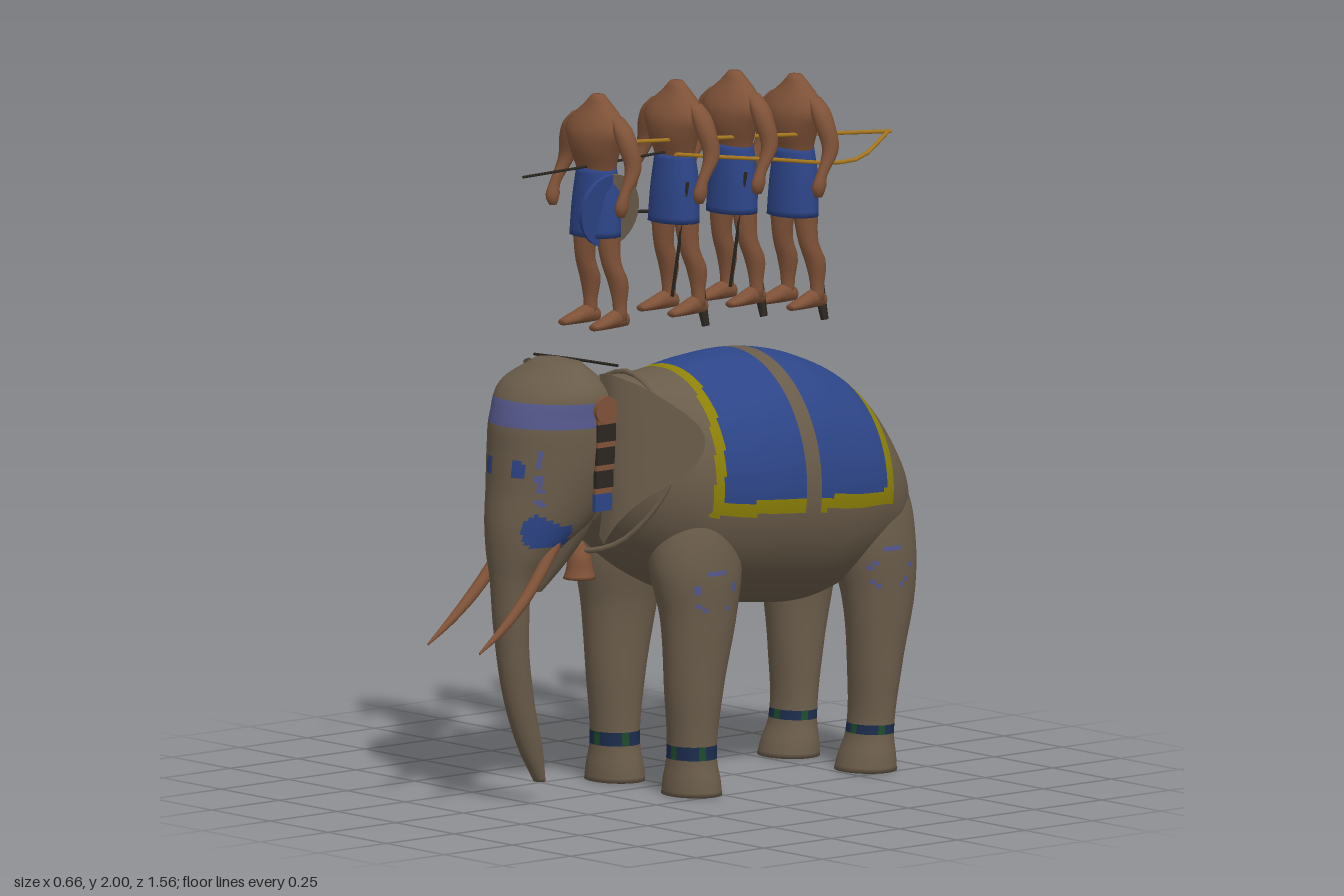
import * as THREE from 'three';

const flat = (name, color) => new THREE.MeshStandardMaterial({ name, color, side: THREE.DoubleSide });
const M = {
  hide: flat('hide', 0x6a5c4a), blue: flat('cloth blue', 0x2d4588), yellow: flat('border yellow', 0x8c8008),
  skin: flat('skin', 0x7f5238), paint: flat('lilac paint', 0x55588c), navy: flat('navy', 0x1c2c4c),
  green: flat('green', 0x1c4a2c), gold: flat('golden wood', 0xa87820), dark: flat('dark leather', 0x2c2620),
};

function add(parent, name, geometry, material, x = 0, y = 0, z = 0) {
  const mesh = new THREE.Mesh(geometry, material);
  mesh.name = name;
  mesh.position.set(x, y, z);
  parent.add(mesh);
  return mesh;
}

// Smooth loft through elliptical sections [s, a, b, ra, rb] stacked along y (a = x, b = z)
// or along z (a = x, b = y). paint(point, angle) may pick the colour of each face.
function loft(parent, name, sections, { axis = 'y', rows = 12, cols = 14, material = M.hide, paint } = {}) {
  const shape = new THREE.CubicInterpolant(
    new Float32Array(sections.map(s => s[0])), new Float32Array(sections.flatMap(s => s.slice(1))), 4);
  const s0 = sections[0][0], s1 = sections[sections.length - 1][0];
  const points = [], faces = new Map();
  const put = (s, a, b) => points.push(axis === 'y' ? new THREE.Vector3(a, s, b) : new THREE.Vector3(a, b, s));
  for (let i = 0; i <= rows; i++) {
    const s = s0 + (s1 - s0) * i / rows;
    const [a, b, ra, rb] = shape.evaluate(s);
    for (let j = 0; j < cols; j++) {
      const t = j / cols * Math.PI * 2;
      put(s, a + Math.max(ra, 0.002) * Math.cos(t), b + Math.max(rb, 0.002) * Math.sin(t));
    }
  }
  const first = sections[0], last = sections[sections.length - 1];
  put(s0, first[1], first[2]);
  put(s1, last[1], last[2]);
  const face = (mat, a, b, c) => {
    if (!faces.has(mat)) faces.set(mat, []);
    faces.get(mat).push(...(axis === 'y' ? [a, c, b] : [a, b, c]));
  };
  const bottom = points.length - 2, top = points.length - 1;
  for (let j = 0; j < cols; j++) {
    const k = (j + 1) % cols;
    for (let i = 0; i < rows; i++) {
      const a = i * cols + j, b = i * cols + k, c = a + cols, d = b + cols;
      const mid = points[a].clone().add(points[d]).multiplyScalar(0.5);
      const mat = paint ? paint(mid, (j + 0.5) / cols * Math.PI * 2) : material;
      face(mat, a, b, d);
      face(mat, a, d, c);
    }
    face(material, bottom, k, j);
    face(material, top, rows * cols + j, rows * cols + k);
  }
  const geo = new THREE.BufferGeometry().setFromPoints(points), index = [], mats = [];
  for (const [mat, list] of faces) {
    geo.addGroup(index.length, list.length, mats.length);
    mats.push(mat);
    for (const v of list) index.push(v);
  }
  geo.setIndex(index);
  geo.computeVertexNormals();
  return add(parent, name, geo, mats);
}

function rod(parent, name, pts, radius, material, closed = false) {
  const curve = new THREE.CatmullRomCurve3(pts.map(p => new THREE.Vector3(...p)), closed);
  return add(parent, name, new THREE.TubeGeometry(curve, closed ? 40 : 14, radius, 6, closed), material);
}

// Saddle cloth: two blue panels with a yellow border, split by a bare strip
function clothPaint({ y, z }) {
  const front = 0.02 + 0.1 * (1.19 - y), back = -0.605, hem = 0.795 + 0.04 * z;
  if (y < hem || z > front || z < back || (z < -0.245 && z > -0.305)) return M.hide;
  return z > front - 0.03 || z < back + 0.033 || y < hem + 0.04 ? M.yellow : M.blue;
}

// Forehead band, brow spots, cheek blots and temple streaks
function facePaint({ x, y, z }) {
  const ax = Math.abs(x);
  if (z > 0.42 && y > 1.085 && y < 1.15) return M.paint;
  if (z < 0.46) return M.hide;
  if (Math.hypot((ax - 0.06) / 0.02, (y - 0.965) / 0.027) < 1) return M.blue;
  if (Math.hypot((ax - 0.108) / 0.028, (y - 0.79) / 0.05) < 1) return M.blue;
  if (Math.abs(ax - 0.115) < 0.008 && y > 0.86 && y < 1.02 && Math.sin(y * 90) > -0.5) return M.paint;
  return M.hide;
}

// Anklet near the foot and a broken painted ring on the outer thigh
function legPaint(cz) {
  return ({ x, y, z }, t) => {
    if (y > 0.1 && y < 0.138) return Math.sin(t * 5) > 0.4 ? M.green : M.navy;
    const r = Math.hypot(z - cz, y - 0.58);
    return Math.abs(x) > 0.2 && r > 0.055 && r < 0.068 && Math.sin(y * 120) > -0.3 ? M.paint : M.hide;
  };
}

// Thin ear that sweeps back as it spreads outward
function ear(parent, side) {
  const line = pts => new THREE.SplineCurve(pts.map(p => new THREE.Vector2(...p)));
  const inner = line([[0.13, 1.22], [0.16, 1.1], [0.16, 0.95], [0.13, 0.76]]);
  const outer = line([[0.17, 1.23], [0.255, 1.19], [0.325, 1.07], [0.315, 0.95], [0.25, 0.87], [0.15, 0.74]]);
  const geo = new THREE.PlaneGeometry(1, 1, 10, 18), pos = geo.attributes.position;
  for (let i = 0; i < pos.count; i++) {
    const v = 0.5 - pos.getY(i);
    const p = inner.getPoint(v).lerp(outer.getPoint(v), pos.getX(i) + 0.5);
    pos.setXYZ(i, p.x * side, p.y, 0.36 - 8.7 * Math.max(0, p.x - 0.17) ** 2);
  }
  geo.computeVertexNormals();
  add(parent, 'ear', geo, M.hide);
}

function elephant() {
  const g = new THREE.Group();
  g.name = 'elephant';
  loft(g, 'body', [[-0.775, 0, 0.82, 0.04, 0.04], [-0.74, 0, 0.765, 0.17, 0.14], [-0.68, 0, 0.775, 0.24, 0.218],
    [-0.6, 0, 0.81, 0.28, 0.283], [-0.45, 0, 0.828, 0.308, 0.347], [-0.28, 0, 0.851, 0.32, 0.362],
    [-0.1, 0, 0.863, 0.31, 0.343], [0.05, 0, 0.878, 0.27, 0.307], [0.2, 0, 0.92, 0.225, 0.26],
    [0.33, 0, 0.975, 0.15, 0.195]], { axis: 'z', rows: 140, cols: 160, paint: clothPaint });
  loft(g, 'headAndTrunk', [[0.06, 0, 0.468, 0.018, 0.016], [0.15, 0, 0.5, 0.03, 0.036], [0.3, 0, 0.545, 0.04, 0.045],
    [0.5, 0, 0.573, 0.053, 0.048], [0.65, 0, 0.567, 0.07, 0.063], [0.72, 0, 0.535, 0.1, 0.1],
    [0.8, 0, 0.475, 0.135, 0.16], [0.9, 0, 0.435, 0.165, 0.185], [1.0, 0, 0.405, 0.185, 0.205],
    [1.1, 0, 0.4, 0.188, 0.195], [1.19, 0, 0.415, 0.168, 0.128], [1.25, 0, 0.4, 0.085, 0.045]],
  { rows: 120, cols: 80, paint: facePaint });
  loft(g, 'lowerJaw', [[0.6, 0, 0.475, 0.012, 0.012], [0.68, 0, 0.44, 0.05, 0.06],
    [0.78, 0, 0.4, 0.085, 0.1], [0.9, 0, 0.38, 0.1, 0.12]]);
  loft(g, 'tail', [[0.12, 0, -0.73, 0.004, 0.004], [0.2, 0, -0.732, 0.014, 0.013], [0.35, 0, -0.738, 0.008, 0.008],
    [0.6, 0, -0.752, 0.01, 0.01], [0.86, 0, -0.755, 0.02, 0.02]], { rows: 20, cols: 8 });
  for (const s of [1, -1]) {
    loft(g, 'frontLeg', [[0, s * 0.165, 0.048, 0.095, 0.078], [0.04, s * 0.165, 0.048, 0.09, 0.075],
      [0.1, s * 0.165, 0.048, 0.077, 0.067], [0.3, s * 0.168, 0.042, 0.08, 0.087], [0.5, s * 0.17, 0.028, 0.092, 0.118],
      [0.65, s * 0.16, 0.03, 0.108, 0.145], [0.78, s * 0.145, 0.03, 0.1, 0.13], [0.9, s * 0.12, 0.02, 0.07, 0.09]],
    { rows: 70, cols: 40, paint: legPaint(0.04) });
    loft(g, 'rearLeg', [[0, s * 0.165, -0.595, 0.095, 0.083], [0.04, s * 0.165, -0.6, 0.09, 0.076],
      [0.1, s * 0.165, -0.61, 0.077, 0.062], [0.3, s * 0.17, -0.625, 0.08, 0.077], [0.5, s * 0.172, -0.635, 0.092, 0.112],
      [0.65, s * 0.157, -0.62, 0.11, 0.138], [0.78, s * 0.14, -0.61, 0.105, 0.135], [0.92, s * 0.12, -0.58, 0.07, 0.08]],
    { rows: 70, cols: 40, paint: legPaint(-0.61) });
    loft(g, 'tusk', [[0.49, s * 0.095, 0.75, 0.02, 0.028], [0.6, s * 0.105, 0.62, 0.018, 0.024],
      [0.7, s * 0.11, 0.53, 0.012, 0.015], [0.785, s * 0.11, 0.47, 0.003, 0.004]], { axis: 'z', material: M.skin });
    ear(g, s);
    // Ear pendant: disc above a dark strap with thin bands and a blue end
    add(g, 'pendantDisc', new THREE.CylinderGeometry(0.04, 0.04, 0.012, 16), M.skin, s * 0.194, 1.13, 0.39)
      .rotation.z = Math.PI / 2;
    for (let i = 0; i < 4; i++) {
      add(g, 'pendantStrap', new THREE.BoxGeometry(0.012, 0.05, 0.07), i === 3 ? M.blue : M.dark,
        s * (0.19 - i * 0.004), 1.065 - i * 0.066, 0.385);
      add(g, 'pendantBand', new THREE.BoxGeometry(0.014, 0.016, 0.07), M.skin, s * (0.19 - i * 0.004), 1.098 - i * 0.066, 0.385);
    }
  }
  // Neck rope, bell and crown stick
  rod(g, 'neckRope', [[0, 1.19, 0.15], [0.18, 1.09, 0.16], [0.243, 0.92, 0.19], [0.13, 0.74, 0.27], [0, 0.7, 0.32],
    [-0.13, 0.74, 0.27], [-0.243, 0.92, 0.19], [-0.18, 1.09, 0.16]], 0.008, M.hide, true);
  loft(g, 'bell', [[0.62, 0, 0.32, 0.047, 0.047], [0.64, 0, 0.32, 0.04, 0.04], [0.69, 0, 0.32, 0.03, 0.03],
    [0.725, 0, 0.32, 0.01, 0.01]], { material: M.skin });
  rod(g, 'crownStick', [[-0.16, 1.24, 0.35], [0.02, 1.25, 0.36], [0.21, 1.255, 0.36]], 0.004, M.dark);
  return g;
}

// Headless bare-chested figure in a blue kilt, standing on local y = 0
function rider(y, z) {
  const g = new THREE.Group(), skin = { material: M.skin };
  g.name = 'rider';
  g.position.set(-0.003, y, z);
  loft(g, 'torso', [[0.38, 0, 0, 0.065, 0.045], [0.44, 0, 0, 0.065, 0.047], [0.51, 0, 0.006, 0.09, 0.06],
    [0.56, 0, 0.004, 0.108, 0.06], [0.595, 0, -0.004, 0.092, 0.05], [0.625, 0, -0.008, 0.055, 0.034],
    [0.657, 0, -0.006, 0.02, 0.017]], { ...skin, rows: 18 });
  loft(g, 'kilt', [[0.26, 0, 0.005, 0.088, 0.062], [0.36, 0, 0, 0.082, 0.06], [0.455, 0, 0, 0.066, 0.05]],
    { material: M.blue });
  for (const s of [1, -1]) {
    loft(g, 'leg', [[0.02, s * 0.064, -0.032, 0.02, 0.022], [0.06, s * 0.063, -0.032, 0.019, 0.021],
      [0.13, s * 0.06, -0.028, 0.029, 0.032], [0.18, s * 0.056, -0.008, 0.027, 0.031],
      [0.3, s * 0.046, 0, 0.038, 0.042]], { ...skin, cols: 10 });
    loft(g, 'foot', [[-0.058, s * 0.062, 0.02, 0.015, 0.018], [-0.02, s * 0.062, 0.026, 0.021, 0.026],
      [0.03, s * 0.065, 0.017, 0.025, 0.017], [0.07, s * 0.066, 0.009, 0.018, 0.009]],
    { ...skin, axis: 'z', rows: 8, cols: 10 });
    loft(g, 'arm', [[0.33, s * 0.146, 0.035, 0.01, 0.012], [0.355, s * 0.148, 0.035, 0.018, 0.023],
      [0.385, s * 0.149, 0.028, 0.015, 0.018], [0.46, s * 0.143, -0.012, 0.023, 0.025],
      [0.53, s * 0.122, -0.008, 0.03, 0.031], [0.57, s * 0.104, -0.006, 0.028, 0.03],
      [0.6, s * 0.082, -0.006, 0.015, 0.02]], { ...skin, rows: 18, cols: 10 });
  }
  return g;
}

// Tilted quiver with arrow ends
function quiver(y, z) {
  const g = new THREE.Group();
  g.name = 'quiver';
  g.position.set(0, y, z);
  g.rotation.z = 0.28;
  add(g, 'case', new THREE.CylinderGeometry(0.02, 0.011, 0.16, 8), M.dark, 0, -0.02, 0);
  for (let i = 0; i < 5; i++) {
    const t = i / 5 * Math.PI * 2;
    add(g, 'arrow', new THREE.BoxGeometry(0.008, 0.05, 0.008), i % 2 ? M.skin : M.dark,
      0.013 * Math.cos(t), 0.08, 0.013 * Math.sin(t));
  }
  return g;
}

export function createModel() {
  const model = new THREE.Group();
  model.add(elephant());
  const places = [[1.33, 0.255], [1.338, -0.035], [1.342, -0.25], [1.308, -0.475]];
  places.forEach(([y, z], i) => {
    model.add(rider(y, z));
    if (i) model.add(quiver(y + 0.05, z - 0.088));
    if (i === 1 || i === 2)
      rod(model, 'sword', [[0.075, y + 0.38, z + 0.02], [0.05, y + 0.2, z + 0.03], [0.02, y + 0.05, z + 0.03]], 0.005, M.dark);
  });
  // Round shield, half blue and half bare, at the first rider's left hip
  for (const [mat, start] of [[M.blue, 0], [M.hide, Math.PI]])
    add(model, 'shield', new THREE.CylinderGeometry(0.105, 0.105, 0.012, 16, 1, false, start - Math.PI / 2, Math.PI), mat,
      0.055, 1.665, 0.258).rotation.z = Math.PI / 2 - 0.12;
  // Long bows, spear and blade
  rod(model, 'bow', [[0.025, 1.85, 0.22], [0.05, 1.815, -0.3], [0.07, 1.78, -0.77]], 0.006, M.gold);
  rod(model, 'lowerBow', [[0.11, 1.81, 0.06], [0.125, 1.765, -0.25], [0.12, 1.725, -0.6], [0.07, 1.78, -0.76]], 0.006, M.gold);
  rod(model, 'spear', [[0.012, 1.785, 0.54], [0.012, 1.79, 0.3], [0.012, 1.8, 0.0]], 0.004, M.dark);
  rod(model, 'blade', [[-0.06, 1.64, 0.2], [-0.06, 1.63, 0.1], [-0.06, 1.62, 0.0]], 0.005, M.dark);
  return model;
}
